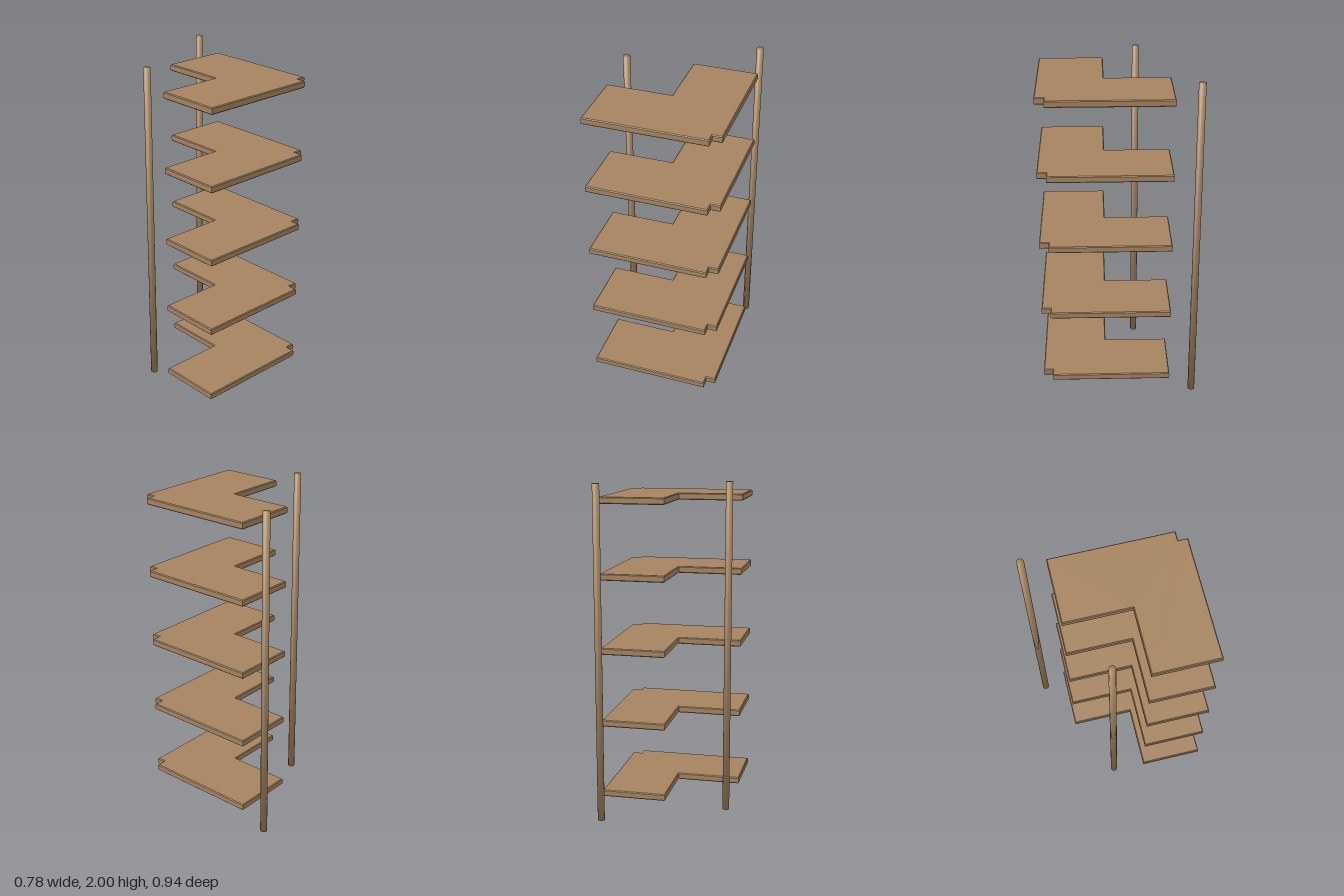
import * as THREE from 'three';
import { mergeVertices } from 'three/addons/utils/BufferGeometryUtils.js';

const HEIGHT = 2;
const POST_RADIUS = 0.021;
const THICKNESS = 0.04;
const BEVEL = 0.005;

// L-shaped board with a small notch in its front corner, edges slightly bevelled
function shelfGeometry() {
  const outline = [
    [-0.388, 0.081], [0, 0.081], [0, -0.308], [0.388, -0.308],
    [0.388, 0.412], [0.331, 0.412], [0.331, 0.468], [-0.388, 0.468],
  ];
  const shape = new THREE.Shape(outline.map(([x, z]) => new THREE.Vector2(x, z)));
  const depth = THICKNESS - 2 * BEVEL;
  const geometry = new THREE.ExtrudeGeometry(shape, {
    depth, bevelEnabled: true, bevelSize: BEVEL, bevelThickness: BEVEL,
    bevelOffset: -BEVEL, bevelSegments: 1,
  });
  geometry.translate(0, 0, -depth / 2);
  geometry.rotateX(Math.PI / 2);
  return geometry;
}

// Round post whose normals are blended softly between the side and the end caps
function postGeometry() {
  let geometry = new THREE.CylinderGeometry(POST_RADIUS, POST_RADIUS, HEIGHT, 16);
  geometry.deleteAttribute('uv');
  geometry.deleteAttribute('normal');
  geometry = mergeVertices(geometry);
  const position = geometry.attributes.position;
  const normals = [];
  const n = new THREE.Vector3();
  for (let i = 0; i < position.count; i++) {
    n.fromBufferAttribute(position, i);
    n.set(n.x / POST_RADIUS, Math.sign(n.y), n.z / POST_RADIUS).normalize();
    normals.push(n.x, n.y, n.z);
  }
  geometry.setAttribute('normal', new THREE.Float32BufferAttribute(normals, 3));
  return geometry;
}

export function createModel() {
  const model = new THREE.Group();
  model.name = 'cornerShelf';
  const wood = new THREE.MeshStandardMaterial({ color: 0xa5835f });
  wood.name = 'wood';

  // Five evenly spaced shelves
  const shelf = shelfGeometry();
  for (let i = 0; i < 5; i++) {
    const mesh = new THREE.Mesh(shelf, wood);
    mesh.name = `shelf${i + 1}`;
    mesh.position.y = 0.114 + i * 0.445;
    model.add(mesh);
  }

  // Two upright posts standing behind the shelves
  const post = postGeometry();
  for (const [name, x, z] of [['leftPost', 0.359, -0.448], ['rightPost', -0.341, -0.115]]) {
    const mesh = new THREE.Mesh(post, wood);
    mesh.name = name;
    mesh.position.set(x, HEIGHT / 2, z);
    model.add(mesh);
  }
  return model;
}
